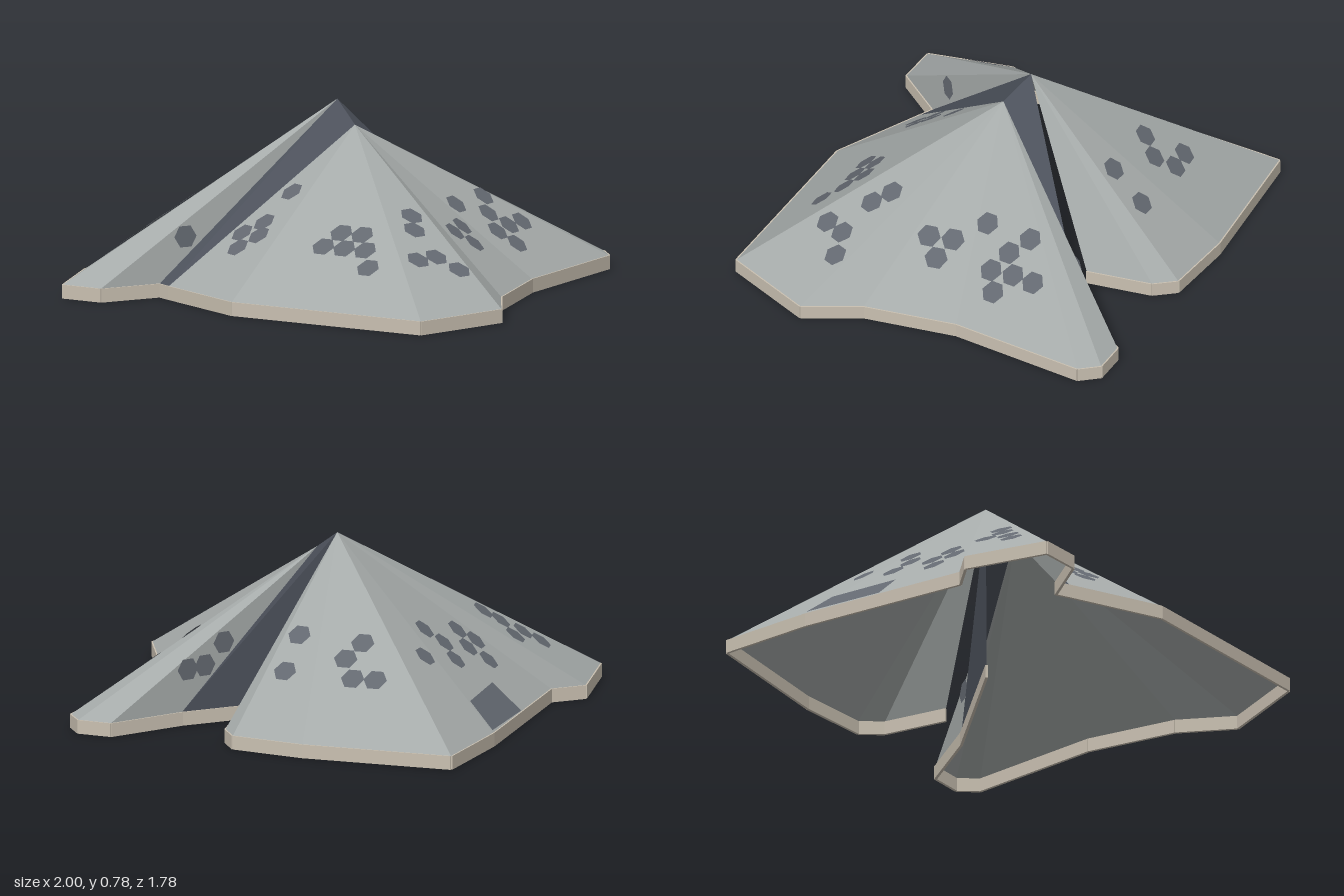
import * as THREE from 'three';

const RIM = 0.06;
const V = (x, y, z) => new THREE.Vector3(x, y, z);
const mat = (name, color, side = THREE.DoubleSide) => {
  const m = new THREE.MeshStandardMaterial({ color, side });
  m.name = name;
  return m;
};

export function createModel() {
  const model = new THREE.Group();
  const panel = mat('panel grey', 0xa5aaa9);
  const tile = mat('tile slate', 0x636870);
  const band = mat('ridge slate', 0x4c515b);
  const trim = mat('trim beige', 0xc9c0b1, THREE.FrontSide);

  // The two peaks and the plan outline of each half
  const peakA = V(-0.08, 0.78, -0.07), peakB = V(0.04, 0.69, 0.0);
  const ring = pts => pts.map(([x, z]) => V(x, RIM, z));
  const west = ring([[-0.56, 0.65], [-0.73, 0.865], [-0.915, 0.86], [-0.995, 0.49], [-0.88, 0.38],
    [-0.93, -0.4], [-0.91, -0.83], [-0.25, -0.885], [0.08, -0.86], [0.15, -0.77], [0.195, -0.48]]);
  const east = ring([[0.43, -0.57], [0.64, -0.86], [0.79, -0.86], [0.855, -0.78], [0.8, -0.17],
    [0.865, 0.24], [0.99, 0.48], [0.81, 0.88], [-0.1, 0.87], [-0.5, 0.68]]);

  function surface(name, tris, material) {
    const g = new THREE.BufferGeometry().setFromPoints(tris.flat());
    g.computeVertexNormals();
    const mesh = new THREE.Mesh(g, material);
    mesh.name = name;
    model.add(mesh);
  }

  // Triangle with its normal pointing up and outwards
  function facing(a, b, c) {
    const n = new THREE.Triangle(a, b, c).getNormal(V(0, 0, 0));
    return n.y < 0 ? [a, c, b] : [a, b, c];
  }
  const fan = (peak, pts) => pts.slice(1).map((p, i) => facing(peak, pts[i], p));

  // Sloping fans
  const westFan = fan(peakA, west), eastFan = fan(peakB, east);
  surface('westRoof', westFan, panel);
  surface('eastRoof', eastFan, panel);

  // Dark ridge band across the peaks, with its wall inside the rear notch
  const p1 = west[0], p2 = east[east.length - 1], c = east[0];
  const notch = V(-0.06, RIM, -0.08);
  surface('ridgeBand', [[peakA, p1, p2], [peakA, p2, peakB], [peakA, peakB, c]], band);
  surface('notchWall', [[peakA, c, notch]], band);

  // Beige rim boards
  const rim = new THREE.Group();
  rim.name = 'rim';
  model.add(rim);
  function board(p, q) {
    const d = q.clone().sub(p);
    const b = new THREE.Mesh(new THREE.BoxGeometry(d.length(), RIM, 0.012), trim);
    b.name = 'rimBoard';
    b.position.set((p.x + q.x) / 2, RIM / 2, (p.z + q.z) / 2);
    b.rotation.y = Math.atan2(-d.z, d.x);
    rim.add(b);
  }
  for (const pts of [west, east, [p1, p2], [c, notch]])
    for (let i = 1; i < pts.length; i++) board(pts[i - 1], pts[i]);

  // Hexagonal tiles lying on the slopes, one corner along the rim direction
  const tiles = new THREE.Group();
  tiles.name = 'hexTiles';
  model.add(tiles);
  const hex = new THREE.CircleGeometry(0.052, 6);
  function addTile(point, n) {
    const u = V(0, 1, 0).cross(n).normalize();
    const v = n.clone().cross(u);
    const m = new THREE.Mesh(hex, tile);
    m.name = 'hexTile';
    m.applyMatrix4(new THREE.Matrix4().makeBasis(u, v, n));
    m.position.copy(point).addScaledVector(n, 0.006);
    tiles.add(m);
  }
  // Height of a slope at a plan position
  function onPlane(tri, x, z) {
    const n = new THREE.Triangle(...tri).getNormal(V(0, 0, 0));
    const a = tri[0];
    return { n, p: V(x, a.y - (n.x * (x - a.x) + n.z * (z - a.z)) / n.y, z) };
  }
  function inPlan(tri, x, z) {
    const s = tri.map((a, i) => {
      const b = tri[(i + 1) % 3];
      return (b.x - a.x) * (z - a.z) - (b.z - a.z) * (x - a.x);
    });
    return s.every(k => k >= 0) || s.every(k => k <= 0);
  }
  function scatter(tris, spots) {
    for (const [x, z] of spots) {
      const t = tris.find(tri => inPlan(tri, x, z));
      if (!t) continue;
      const { n, p } = onPlane(t, x, z);
      addTile(p, n);
    }
  }
  scatter(westFan, [
    [-0.47, -0.6], [-0.37, -0.61], [-0.31, -0.54], [-0.36, -0.47], [-0.06, -0.61], [-0.07, -0.47],
    [-0.59, -0.34], [-0.65, -0.14], [-0.51, -0.15], [-0.58, -0.1],
    [-0.63, 0.05], [-0.7, 0.11], [-0.56, 0.1], [-0.62, 0.16],
    [-0.57, 0.37], [-0.71, 0.39], [-0.63, 0.42], [-0.7, 0.5], [-0.76, 0.56]]);
  scatter(eastFan, [
    [0.61, -0.44], [0.47, -0.355], [0.6, -0.34], [0.53, -0.285], [0.67, -0.28], [0.6, -0.235],
    [0.45, -0.14], [0.54, -0.02], [0.62, 0.02], [0.56, 0.085],
    [0.47, 0.31], [0.52, 0.38], [0.76, 0.43], [0.66, 0.45], [0.62, 0.54],
    [0.24, 0.51], [0.34, 0.51], [0.19, 0.58], [0.29, 0.58], [0.39, 0.58], [0.445, 0.66],
    [-0.1, 0.31], [-0.16, 0.45], [-0.25, 0.48], [-0.15, 0.52], [-0.23, 0.56]]);

  // Tiles on the two steep end faces, placed by corner weights
  function steepTile(a, b, d, outX, wa, wb) {
    const n = new THREE.Triangle(a, b, d).getNormal(V(0, 0, 0));
    if (n.x * outX < 0) n.negate();
    const p = V(0, 0, 0).addScaledVector(a, wa).addScaledVector(b, wb).addScaledVector(d, 1 - wa - wb);
    addTile(p, n);
  }
  steepTile(peakA, west[0], west[1], 1, 0.265, 0.36);
  for (const [wa, wb] of [[0.44, 0.3], [0.3, 0.44], [0.29, 0.23]])
    steepTile(peakB, east[0], east[1], -1, wa, wb);

  // Dark hatch at the western eave
  const slope = westFan[4];
  const q = [[-0.923, -0.4], [-0.8, -0.35], [-0.775, -0.035], [-0.905, -0.03]].map(([x, z]) => {
    const { n, p } = onPlane(slope, x, z);
    return p.addScaledVector(n, 0.006);
  });
  surface('eaveHatch', [facing(q[0], q[1], q[2]), facing(q[0], q[2], q[3])], tile);

  return model;
}
